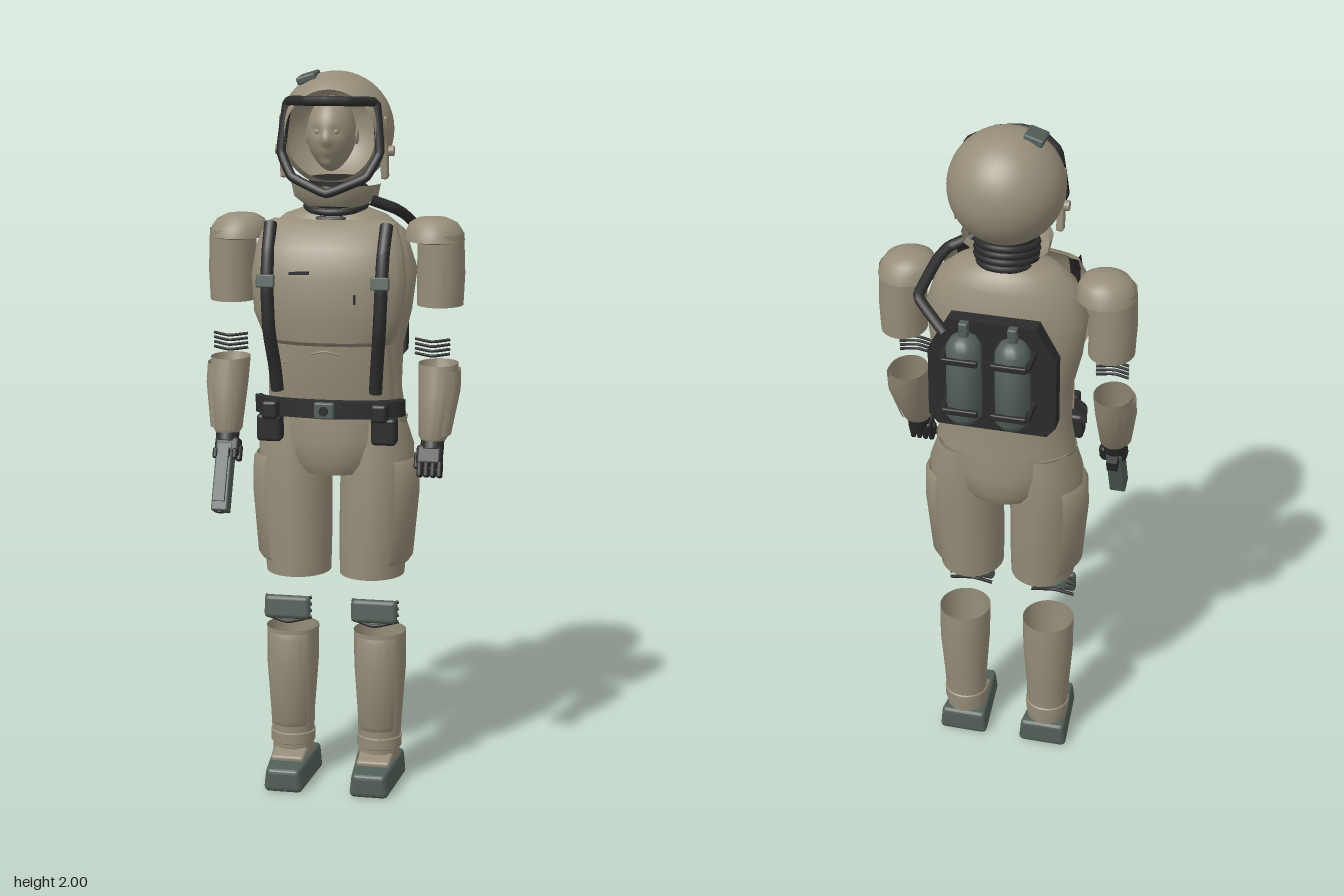
import * as THREE from 'three';
import { mergeVertices, toCreasedNormals } from 'three/addons/utils/BufferGeometryUtils.js';
import { RoundedBoxGeometry } from 'three/addons/geometries/RoundedBoxGeometry.js';

const mat = (name, color, side = THREE.FrontSide) =>
  Object.assign(new THREE.MeshStandardMaterial({ color, side }), { name });

// Stack of half-ellipse rings listed top to bottom: [y, cx, cz, rx, rzFront, rzBack]
function loft(rows, a0 = -Math.PI, a1 = Math.PI, seg = 40) {
  const g = new THREE.PlaneGeometry(1, 1, seg, rows.length - 1);
  const p = g.attributes.position;
  for (let i = 0; i < p.count; i++) {
    const [y, cx, cz, rx, rf, rb = rf] = rows[Math.floor(i / (seg + 1))];
    const a = a0 + (a1 - a0) * (i % (seg + 1)) / seg;
    const c = Math.cos(a);
    p.setXYZ(i, cx + rx * Math.sin(a), y, cz + c * (c > 0 ? rf : rb));
  }
  g.deleteAttribute('uv');
  g.deleteAttribute('normal');
  return toCreasedNormals(mergeVertices(g, 1e-5), 0.7);
}

const V = (a) => new THREE.Vector3(...a);
const tube = (pts, r, seg = 24, tension = 0.3, closed = false) =>
  new THREE.TubeGeometry(new THREE.CatmullRomCurve3(pts.map(V), closed, 'catmullrom', tension), seg, r, 8, closed);

export function createModel() {
  const root = new THREE.Group();
  const suit = mat('suit tan', 0x968d79, THREE.DoubleSide);
  const suitOuter = mat('suit tan outside', 0x968d79);
  const dark = mat('black rubber', 0x2b2b2c);
  const green = mat('grey green', 0x525f58);
  const add = (name, geo, m, x = 0, y = 0, z = 0, rx = 0, ry = 0, rz = 0) => {
    const mesh = new THREE.Mesh(geo, m);
    mesh.name = name;
    mesh.position.set(x, y, z);
    mesh.rotation.set(rx, ry, rz);
    root.add(mesh);
    return mesh;
  };
  const box = (w, h, d) => new THREE.BoxGeometry(w, h, d);
  const rbox = (w, h, d, r = 0.01) => new RoundedBoxGeometry(w, h, d, 2, r);
  const cyl = (r, h, r2 = r) => new THREE.CylinderGeometry(r2, r, h, 20);

  // Helmet shell, open at the face
  const shell = new THREE.SphereGeometry(0.156, 48, 32, 0, Math.PI * 2, 0.9, Math.PI - 0.9);
  shell.rotateX(Math.PI / 2 + 0.1);
  add('helmet', shell, suit, 0, 1.844, 0.018);
  add('helmetLamp', rbox(0.055, 0.022, 0.075, 0.006), green, -0.073, 1.982, 0.037, 0.08, 0, 0.3);
  for (const s of [-1, 1]) {
    add('earPanel', rbox(0.02, 0.17, 0.03, 0.006), suit, s * 0.138, 1.8, 0.055, 0.1);
    add('earKnob', cyl(0.014, 0.014), suit, s * 0.155, 1.79, 0.045, 0, 0, Math.PI / 2);
  }

  // Visor frame and the band behind it
  const half = [[0.06, 1.928, 0.16], [0.12, 1.92, 0.09], [0.134, 1.79, 0.11], [0.1, 1.725, 0.135]];
  const loop = [[0, 1.93, 0.177], ...half, [0, 1.685, 0.168],
    ...half.map(([x, y, z]) => [-x, y, z]).reverse()];
  add('visorFrame', tube(loop, 0.013, 90, 0.12, true), dark);
  const band = new THREE.PlaneGeometry(1, 1, loop.length, 1);
  for (let i = 0; i < band.attributes.position.count; i++) {
    const n = loop.length + 1, [x, y, z] = loop[(i % n) % loop.length];
    const back = i >= n;
    band.attributes.position.setXYZ(i, x * (back ? 0.97 : 1), y, z - (back ? 0.04 : 0));
  }
  band.computeVertexNormals();
  add('visorBand', band, suit);

  // Face
  const headGeo = new THREE.SphereGeometry(1, 40, 32);
  const hp = headGeo.attributes.position;
  for (let i = 0; i < hp.count; i++) {
    let x = hp.getX(i), y = hp.getY(i), z = hp.getZ(i);
    const bump = (bx, by, w, h) => Math.exp(-(((x - bx) / w) ** 2) - ((y - by) / h) ** 2);
    const jaw = y < 0 ? 1 - 0.25 * y * y : 1;
    if (z > 0) {
      z += 0.2 * bump(0, -0.12, 0.16, 0.17) + 0.07 * bump(0, -0.47, 0.3, 0.1) + 0.16 * bump(0, -0.8, 0.35, 0.16)
        - 0.1 * (bump(0.38, 0.1, 0.2, 0.1) + bump(-0.38, 0.1, 0.2, 0.1));
    }
    hp.setXYZ(i, x * 0.066 * jaw, y * 0.1, z * 0.084);
  }
  headGeo.computeVertexNormals();
  add('face', headGeo, suit, 0, 1.838, 0.09);
  for (const s of [-1, 1]) {
    add('eye', new THREE.SphereGeometry(0.008, 12, 8), suit, s * 0.025, 1.848, 0.158);
    add('ear', new THREE.SphereGeometry(0.014, 12, 8), suit, s * 0.066, 1.83, 0.08).scale.set(0.5, 1.5, 1);
  }

  // Collar and neck rings
  add('collar', loft([[1.7, 0, 0.025, 0.122, 0.11], [1.665, 0, 0.025, 0.115, 0.105], [1.635, 0, 0.025, 0.075, 0.08]], -1.75, 1.75), suit);
  add('neck', cyl(0.075, 0.12), dark, 0, 1.655, 0.02);
  for (let i = 0; i < 4; i++)
    add('neckRing', new THREE.TorusGeometry(0.08, 0.01, 8, 36), dark, 0, 1.62 + i * 0.02, 0.025, Math.PI / 2 + 0.16);

  // Torso and pelvis
  add('torso', loft([
    [1.64, 0, 0.02, 0.07, 0.06], [1.615, 0, 0.02, 0.14, 0.085, 0.09], [1.575, 0, 0.02, 0.19, 0.1, 0.11],
    [1.47, 0, 0.02, 0.224, 0.12, 0.122], [1.36, 0, 0.02, 0.21, 0.12, 0.125], [1.26, 0, 0.02, 0.186, 0.12, 0.122],
    [1.14, 0, 0.02, 0.182, 0.12, 0.12], [1.06, 0, 0.02, 0.195, 0.12, 0.126]]), suit);
  add('pelvis', loft([
    [1.06, 0, 0.02, 0.2, 0.12, 0.128], [1.0, 0, 0.02, 0.185, 0.11, 0.122], [0.94, 0, 0.02, 0.1, 0.1, 0.11],
    [0.91, 0, 0.02, 0.06, 0.08, 0.09], [0.91, 0, 0.02, 0, 0]]), suit);
  for (const [name, a] of [['frontGroinPlate', 0], ['rearGroinPlate', Math.PI]])
    add(name, loft([[1.075, 0, 0.02, 0.185, 0.13], [1.0, 0, 0.02, 0.18, 0.135],
      [0.94, 0, 0.02, 0.15, 0.13], [0.91, 0, 0.02, 0.12, 0.115]], a - 0.68, a + 0.68, 16), suit);

  // Breastplate and belly plate
  const H = Math.PI / 2;
  add('breastplate', loft([
    [1.61, 0, 0.09, 0.155, 0.03], [1.6, 0, 0.1, 0.18, 0.055], [1.54, 0, 0.122, 0.2, 0.078], [1.46, 0, 0.132, 0.212, 0.088],
    [1.36, 0, 0.132, 0.205, 0.09], [1.29, 0, 0.125, 0.178, 0.088], [1.275, 0, 0.11, 0.165, 0.07]], -H, H), suit);
  add('bellyPlate', loft([[1.275, 0, 0.11, 0.165, 0.075], [1.2, 0, 0.1, 0.172, 0.08],
    [1.12, 0, 0.09, 0.175, 0.075]], -H, H), suit);
  add('beltSeam', tube([[-0.12, 1.225, 0.158], [0, 1.262, 0.186], [0.12, 1.225, 0.158]], 0.003), suit);
  add('chestSlot', box(0.055, 0.008, 0.008), dark, -0.065, 1.477, 0.215, 0, -0.13, 0.06);
  add('chestTab', box(0.006, 0.025, 0.008), dark, 0.085, 1.41, 0.213, 0, 0.18);

  // Belt
  add('belt', loft([[1.128, 0, 0.11, 0.19, 0.06], [1.125, 0, 0.11, 0.208, 0.085], [1.08, 0, 0.11, 0.208, 0.085],
    [1.077, 0, 0.11, 0.19, 0.06]], -H, H), Object.assign(dark.clone(), { side: THREE.DoubleSide, name: 'black rubber sheet' }));
  add('buckle', rbox(0.055, 0.045, 0.02, 0.005), green, 0, 1.103, 0.197);
  add('buckleCore', cyl(0.013, 0.008), dark, 0, 1.103, 0.207, H);

  // Backpack: chamfered plate, tanks, clamps and hose
  const plate = new THREE.Shape([[-0.175, 1.22], [-0.15, 1.19], [0.15, 1.19], [0.175, 1.22], [0.175, 1.42],
    [0.12, 1.52], [-0.12, 1.52], [-0.175, 1.42]].map(([x, y]) => new THREE.Vector2(x, y)));
  add('backPlate', new THREE.ExtrudeGeometry(plate, { depth: 0.045, bevelEnabled: false }), dark, 0, 0, -0.146);
  for (const s of [-1, 1]) {
    const prof = [[0, 1.235], [0.03, 1.237], [0.047, 1.258], [0.047, 1.468], [0.035, 1.49], [0.014, 1.5], [0.014, 1.515], [0, 1.515]];
    add('airTank', toCreasedNormals(new THREE.LatheGeometry(prof.map((q) => new THREE.Vector2(...q)), 28), 0.7), green, s * 0.066, 0, -0.184);
    add('tankValve', rbox(0.025, 0.025, 0.025, 0.004), green, s * 0.066, 1.527, -0.184);
    for (const y of [1.29, 1.445]) {
      add('tankClamp', rbox(0.098, 0.018, 0.014, 0.004), dark, s * 0.066, y, -0.232);
      add('tankBracket', box(0.014, 0.016, 0.09), dark, s * 0.115, y, -0.184);
    }
  }
  add('airHose', tube([[0.115, 1.5, -0.188], [0.205, 1.56, -0.118], [0.182, 1.615, -0.01], [0.16, 1.635, 0.03],
    [0.1, 1.66, 0.06]], 0.015, 40, 0.15), dark);

  for (const s of [-1, 1]) {
    // Harness strap and pouch
    add('harnessStrap', tube([[s * 0.158, 1.6, 0.135], [s * 0.156, 1.53, 0.178], [s * 0.155, 1.44, 0.201], [s * 0.15, 1.32, 0.202],
      [s * 0.14, 1.22, 0.178], [s * 0.135, 1.15, 0.168]], 0.018, 30), dark);
    add('strapClip', rbox(0.05, 0.035, 0.015, 0.004), green, s * 0.155, 1.455, 0.221, -0.15);
    add('beltPouch', rbox(0.068, 0.075, 0.05), dark, s * 0.158, 1.045, 0.155);
    add('beltHolder', rbox(0.045, 0.05, 0.045), dark, s * 0.15, 1.1, 0.185);

    // Shoulder and upper arm
    add('shoulderCap', loft([[1.614, s * 0.265, 0.022, 0, 0], [1.61, s * 0.265, 0.022, 0.04, 0.04], [1.597, s * 0.267, 0.022, 0.065, 0.068],
      [1.575, s * 0.27, 0.022, 0.077, 0.082], [1.55, s * 0.272, 0.022, 0.081, 0.088], [1.545, s * 0.285, 0.025, 0.06, 0.07]]), suit);
    add('upperArm', loft([[1.57, s * 0.288, 0.026, 0.063, 0.074], [1.46, s * 0.29, 0.026, 0.065, 0.074],
      [1.375, s * 0.288, 0.026, 0.063, 0.072]]), suit);

    // Elbow ribs
    for (let i = 0; i < 4; i++) {
      const y = 1.248 + i * 0.013;
      add('elbowRib', tube([[s * 0.232, y + 0.004, 0.098], [s * 0.28, y, 0.117], [s * 0.326, y + 0.004, 0.098]], 0.004, 14), dark);
    }

    // Forearm, wrist and glove
    add('forearm', loft([[1.22, s * 0.29, 0.058, 0.054, 0.066], [1.15, s * 0.292, 0.075, 0.053, 0.064],
      [1.03, s * 0.286, 0.118, 0.04, 0.042], [1.02, s * 0.286, 0.12, 0.034, 0.036]]), suit);
    add('bracer', loft([[1.205, s * 0.292, 0.064, 0.06, 0.068], [1.15, s * 0.294, 0.077, 0.059, 0.068],
      [1.035, s * 0.288, 0.118, 0.046, 0.048]], s * H - 1, s * H + 1, 16), suit);
    add('wrist', cyl(0.032, 0.05), dark, s * 0.285, 1.015, 0.125, -0.4);
    add('palm', rbox(0.07, 0.055, 0.045), dark, s * 0.28, 0.978, 0.142, -0.4);
    for (let i = 0; i < 4; i++)
      add('finger', rbox(0.015, s > 0 ? 0.045 : 0.03, 0.032, 0.006), dark, s * (0.256 + i * 0.018), s > 0 ? 0.945 : 0.965, 0.16, -0.3);
    add('thumb', rbox(0.018, 0.045, 0.02, 0.006), dark, s * 0.248, 0.965, 0.15, -0.4);

    // Thigh with outer plate
    add('thigh', loft([[1.06, s * 0.115, 0.02, 0.075, 0.105, 0.11], [0.98, s * 0.117, 0.02, 0.1, 0.112, 0.115],
      [0.86, s * 0.114, 0.024, 0.101, 0.114, 0.112], [0.72, s * 0.108, 0.03, 0.096, 0.107, 0.104],
      [0.615, s * 0.104, 0.034, 0.09, 0.1, 0.098]]), suitOuter);
    add('thighPlate', loft([[0.95, s * 0.122, 0.024, 0.1, 0.11], [0.935, s * 0.122, 0.024, 0.11, 0.117],
      [0.85, s * 0.122, 0.026, 0.112, 0.118], [0.67, s * 0.112, 0.032, 0.106, 0.111], [0.655, s * 0.11, 0.032, 0.098, 0.105]],
    s * H - 1.0, s * H + 1.0, 18), suit);

    // Knee pad and ribs
    add('kneePad', rbox(0.13, 0.066, 0.028, 0.013), green, s * 0.123, 0.52, 0.107, -0.1);
    for (let i = 0; i < 4; i++) {
      const y = 0.482 + i * 0.019;
      add('kneeRib', tube([[s * 0.058, y + 0.006, 0.086], [s * 0.123, y - 0.004, 0.11], [s * 0.188, y + 0.006, 0.086]], 0.005, 14), dark);
    }

    // Shin with guard and ankle cuff
    add('shin', loft([[0.445, s * 0.125, 0.022, 0.074, 0.076], [0.34, s * 0.126, 0.021, 0.073, 0.076],
      [0.2, s * 0.126, 0.024, 0.063, 0.062], [0.07, s * 0.124, 0.026, 0.058, 0.056]]), suit);
    add('shinGuard', loft([[0.435, s * 0.125, 0.024, 0.074, 0.08], [0.42, s * 0.125, 0.024, 0.077, 0.085],
      [0.34, s * 0.125, 0.024, 0.076, 0.084], [0.175, s * 0.125, 0.026, 0.07, 0.074], [0.16, s * 0.125, 0.026, 0.062, 0.066]], -0.8, 0.8, 16), suit);
    add('ankleCuff', loft([[0.14, s * 0.125, 0.025, 0.056, 0.056], [0.135, s * 0.125, 0.025, 0.064, 0.063],
      [0.105, s * 0.125, 0.025, 0.063, 0.062], [0.1, s * 0.125, 0.025, 0.055, 0.055]]), suit);

    // Boot: rounded box narrowed at toe and top
    const boot = rbox(0.142, 0.076, 0.228, 0.014);
    const bp = boot.attributes.position;
    for (let i = 0; i < bp.count; i++) {
      const z = bp.getZ(i), y = bp.getY(i);
      const k = 1 - 0.3 * Math.max(0, (z - 0.05) / 0.064) - (y > 0 ? 0.06 : 0);
      bp.setX(i, bp.getX(i) * k);
      if (y > 0 && z > 0.06) bp.setY(i, y - 0.008);
    }
    boot.computeVertexNormals();
    add('boot', boot, green, s * 0.122, 0.038, 0.078);
    add('bootUpper', rbox(0.095, 0.025, 0.1, 0.008), suit, s * 0.123, 0.078, 0.075, 0.15);
  }

  // Sidearm in the right hand
  const gun = new THREE.Group();
  gun.name = 'sidearm';
  gun.position.set(-0.286, 0.9, 0.176);
  gun.rotation.x = -0.42;
  const gunPart = (name, g, m, x, y, z) => {
    const mesh = new THREE.Mesh(g, m);
    mesh.name = name;
    mesh.position.set(x, y, z);
    gun.add(mesh);
  };
  gunPart('gunBody', rbox(0.046, 0.19, 0.05, 0.005), green, 0, 0, 0);
  gunPart('gunRail', box(0.03, 0.15, 0.012), green, 0, 0.005, 0.03);
  gunPart('gunMuzzle', cyl(0.01, 0.01), dark, 0, -0.094, 0.006);
  gunPart('gunGrip', box(0.03, 0.04, 0.07), dark, 0, 0.085, -0.02);
  root.add(gun);
  return root;
}
